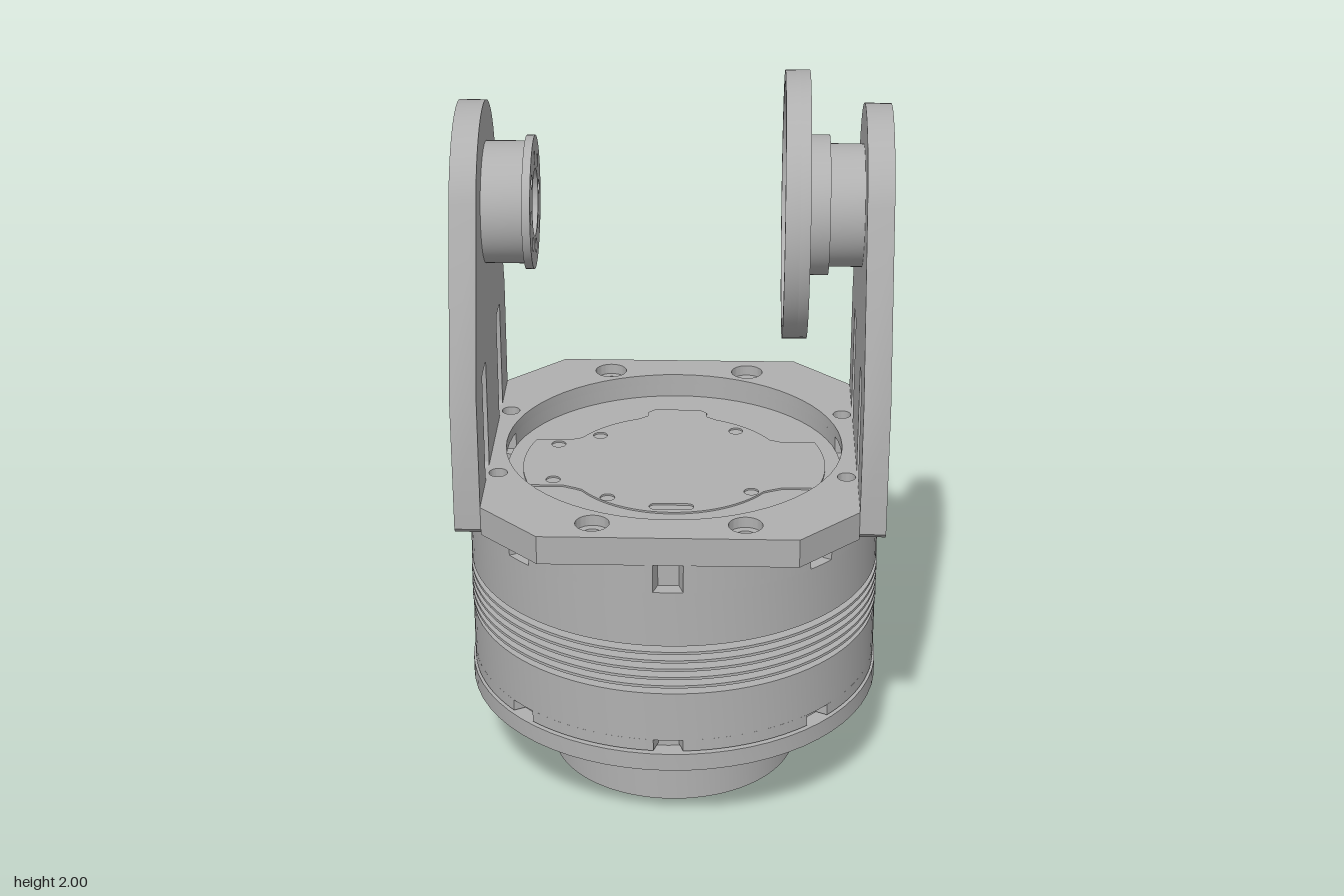
import * as THREE from 'three';
import { toCreasedNormals } from 'three/addons/utils/BufferGeometryUtils.js';

const metal = new THREE.MeshStandardMaterial({ color: 0xb0b0b0 });
metal.name = 'greyMetal';
const TAU = Math.PI * 2, HUB_Y = 1.645;

const V = (x, y) => new THREE.Vector2(x, y);
const polar = (r, a, cy = 0) => V(r * Math.cos(a), cy + r * Math.sin(a));
const circle = (x, y, r) => new THREE.Path().absarc(x, y, r, 0, TAU, false);
const disc = (r, cy = 0) => new THREE.Shape().absarc(0, cy, r, 0, TAU, false);

function arcPoints(r, a0, a1, n, cy = 0) {
  return Array.from({ length: n + 1 }, (_, i) => polar(r, a0 + (a1 - a0) * i / n, cy));
}
function ringHoles(shape, n, pitch, r, cy = 0, offset = 0) {
  for (let i = 0; i < n; i++) {
    const p = polar(pitch, offset + i * TAU / n, cy);
    shape.holes.push(circle(p.x, p.y, r));
  }
  return shape;
}
function roundRect(cx, cy, w, h, r) {
  const p = new THREE.Path(), x = w / 2 - r, y = h / 2 - r;
  p.absarc(cx + x, cy + y, r, 0, TAU / 4, false);
  p.absarc(cx - x, cy + y, r, TAU / 4, TAU / 2, false);
  p.absarc(cx - x, cy - y, r, TAU / 2, TAU * 0.75, false);
  p.absarc(cx + x, cy - y, r, TAU * 0.75, TAU, false);
  p.closePath();
  return p;
}
function mesh(name, geo) {
  const m = new THREE.Mesh(toCreasedNormals(geo, 0.5), metal);
  m.name = name;
  return m;
}
const extrude = (shape, depth) =>
  new THREE.ExtrudeGeometry(shape, { depth, bevelEnabled: false, curveSegments: 32 });
// horizontal slab: shape y becomes -z
const slabY = (name, shape, y0, y1) =>
  mesh(name, extrude(shape, y1 - y0).rotateX(-Math.PI / 2).translate(0, y0, 0));
// upright slab facing sideways: shape x becomes -z
const slabX = (name, shape, x0, x1) =>
  mesh(name, extrude(shape, x1 - x0).rotateY(Math.PI / 2).translate(x0, 0, 0));

// outer edge of the housing with eight small notches
function notchedEdge(R, a0, a1, clip) {
  const pts = [];
  for (let d = a0; d <= a1; d++) {
    const off = Math.abs(((d + 22.5) % 45) - 22.5);
    const p = polar(off < 3.6 ? R - 0.04 : R, d * TAU / 360);
    p.x = THREE.MathUtils.clamp(p.x, -clip, clip);
    pts.push(p);
  }
  return pts;
}

function makeHousing() {
  const g = new THREE.Group();
  g.name = 'housing';
  const prof = [[0, 0.3], [0.13, 0.3], [0.13, 0.2], [0.163, 0.2], [0.163, 0], [0.305, 0], [0.305, 0.01],
    [0.312, 0.01], [0.312, 0], [0.35, 0], [0.35, 0.13], [0.4, 0.13], [0.423, 0.15], [0.423, 0.23],
    [0.41, 0.24], [0.53, 0.24], [0.53, 0.33], [0.57, 0.33], [0.57, 0.475], [0.525, 0.475]];
  // cooling fins
  for (let i = 0; i < 5; i++) {
    const y = 0.497 + i * 0.0255;
    prof.push([0.525, y - 0.004], [0.572, y - 0.004], [0.572, y + 0.004], [0.525, y + 0.004]);
  }
  prof.push([0.525, 0.62], [0.57, 0.62], [0.57, 0.78], [0, 0.78]);
  g.add(mesh('body', new THREE.LatheGeometry(prof.map(p => V(...p)), 96)));

  const flange = disc(0.576);
  flange.holes.push(circle(0, 0, 0.46));
  g.add(slabY('lowerFlange', ringHoles(flange, 8, 0.515, 0.016), 0.239, 0.29));
  g.add(slabY('lowerNotchedBand', new THREE.Shape(notchedEdge(0.57, 0, 359, 1)), 0.297, 0.331));

  // upper wall in two halves, leaving a channel from side to side
  for (const s of [0, Math.PI]) {
    const wall = new THREE.Shape([...notchedEdge(0.57, 9, 171, 0.54),
      ...arcPoints(0.465, Math.PI - 0.175, 0.175, 48)]);
    const m = slabY('upperWall', wall, 0.779, 0.86);
    m.rotation.y = s;
    g.add(m);
  }

  // cover disc with a shallow raised panel
  g.add(slabY('cover', disc(0.464), 0.85, 0.872));
  const up = (r, y) => Math.asin(y / r);
  const panel = new THREE.Shape([
    ...arcPoints(0.42, -up(0.42, 0.145), up(0.42, 0.145), 12),
    V(0.3, 0.145), V(0.265, 0.16),
    ...arcPoints(0.31, 0.6, 1.2, 10),
    V(0.085, 0.31), V(0.085, 0.335), V(0.065, 0.355), V(-0.065, 0.355), V(-0.085, 0.335), V(-0.085, 0.31),
    ...arcPoints(0.31, Math.PI - 1.2, Math.PI - 0.6, 10),
    V(-0.265, 0.16), V(-0.3, 0.145),
    ...arcPoints(0.42, Math.PI - up(0.42, 0.145), Math.PI + up(0.42, 0.145), 12),
    V(-0.3, -0.145), V(-0.265, -0.16),
    ...arcPoints(0.3, Math.PI + 0.6, TAU - 0.6, 32),
    V(0.265, -0.16), V(0.3, -0.145)]);
  panel.holes.push(roundRect(0, -0.265, 0.12, 0.034, 0.016));
  for (const [x, z] of [[-0.33, -0.115], [-0.215, -0.175], [0.17, -0.215], [-0.33, 0.11], [-0.175, 0.215], [0.215, 0.17]])
    panel.holes.push(circle(x, -z, 0.02));
  g.add(slabY('coverPanel', panel, 0.87, 0.877));
  return g;
}

function makeBracket() {
  const g = new THREE.Group();
  g.name = 'bracket';
  const oct = [V(0.5, 0.41), V(0.34, 0.57), V(-0.34, 0.57), V(-0.5, 0.41)];

  // base plate: closed upper layer, lower layer with side slots
  const top = new THREE.Shape([...oct, ...oct.map(p => V(-p.x, -p.y))]);
  top.holes.push(circle(0, 0, 0.465));
  for (const sx of [-1, 1]) for (const sz of [-1, 1])
    top.holes.push(circle(sx * 0.2, sz * 0.49, 0.045), circle(sx * 0.471, sz * 0.2, 0.025));
  g.add(slabY('basePlateTop', top, 0.91, 0.94));
  for (const s of [0, Math.PI]) {
    const half = new THREE.Shape([V(0.5, 0.115), ...oct, V(-0.5, 0.115),
      ...arcPoints(0.465, Math.PI - 0.25, 0.25, 48)]);
    for (const sx of [-1, 1])
      half.holes.push(circle(sx * 0.2, 0.49, 0.025), circle(sx * 0.471, 0.2, 0.025));
    const m = slabY('basePlateBottom', half, 0.86, 0.91);
    m.rotation.y = s;
    g.add(m);
  }

  // upright cheeks
  const cheek = new THREE.Shape([V(0.115, 0.86), V(0.395, 0.86), V(0.41, 0.875), V(0.41, 1.25),
    ...arcPoints(0.27, 0.309, Math.PI - 0.309, 40, HUB_Y),
    V(-0.41, 1.25), V(-0.41, 0.875), V(-0.395, 0.86), V(-0.115, 0.86), V(-0.115, 0.91), V(0.115, 0.91)]);
  for (const s of [-1, 1]) cheek.holes.push(roundRect(s * 0.203, 1.095, 0.1, 0.31, 0.015));
  const bore = arcPoints(0.085, 0, TAU, 48, HUB_Y).slice(0, -1);
  bore.forEach(p => { p.y = THREE.MathUtils.clamp(p.y, HUB_Y - 0.068, HUB_Y + 0.068); });
  cheek.holes.push(new THREE.Path(bore));
  ringHoles(cheek, 8, 0.123, 0.02, HUB_Y);
  g.add(slabX('rightCheek', cheek, -0.57, -0.5), slabX('leftCheek', cheek, 0.5, 0.57));
  return g;
}

// bored round collar with eight bolt holes
function collar(name, r, x0, x1) {
  const s = disc(r, HUB_Y);
  s.holes.push(circle(0, HUB_Y, 0.09));
  return slabX(name, ringHoles(s, 8, 0.123, 0.019, HUB_Y), x0, x1);
}

function makeHubs() {
  const g = new THREE.Group();
  g.name = 'hubs';
  g.add(collar('rightHub', 0.163, -0.5, -0.392), collar('rightHubLip', 0.178, -0.392, -0.37));
  g.add(collar('leftHub', 0.163, 0.41, 0.5), collar('leftHubStep', 0.186, 0.355, 0.41));

  // large drive disc with rim, pads and centre boss on its inner face
  const plate = disc(0.355, HUB_Y);
  plate.holes.push(circle(0, HUB_Y, 0.09));
  ringHoles(plate, 8, 0.123, 0.019, HUB_Y);
  g.add(slabX('driveDisc', ringHoles(plate, 6, 0.275, 0.022, HUB_Y, Math.PI / 6), 0.328, 0.355));
  const rim = disc(0.355, HUB_Y);
  rim.holes.push(circle(0, HUB_Y, 0.325));
  g.add(slabX('driveDiscRim', rim, 0.29, 0.328));
  g.add(collar('driveDiscBoss', 0.165, 0.305, 0.328));
  for (let i = 0; i < 6; i++) {
    const a = i * TAU / 6;
    const pad = new THREE.Shape([...arcPoints(0.3, a - 0.36, a + 0.36, 10, HUB_Y),
      ...arcPoints(0.2, a + 0.3, a - 0.3, 8, HUB_Y)]);
    g.add(slabX('driveDiscPad', pad, 0.302, 0.328));
  }
  return g;
}

export function createModel() {
  const model = new THREE.Group();
  model.name = 'rotaryJoint';
  model.add(makeHousing(), makeBracket(), makeHubs());
  return model;
}
